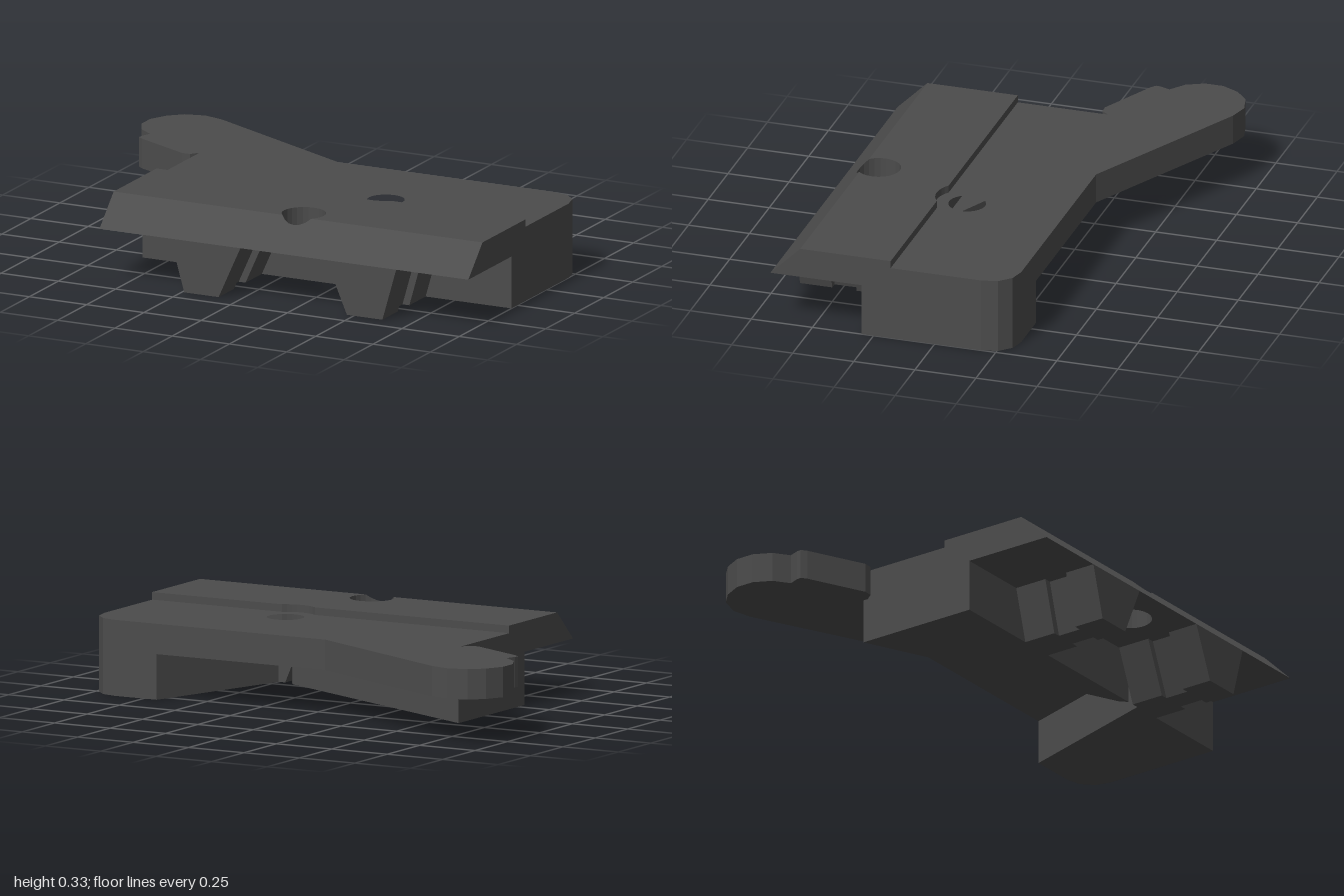
import * as THREE from 'three';

const HOLE_SIDES = 20;

export function createModel() {
  const group = new THREE.Group();
  const darkGrey = new THREE.MeshStandardMaterial({ color: 0x4c4c4c });
  darkGrey.name = 'darkGrey';

  const add = (name, geometry) => {
    const mesh = new THREE.Mesh(geometry, darkGrey);
    mesh.name = name;
    group.add(mesh);
  };

  // Points [x, z] on an arc; angle 0 is +x, 90 degrees is +z
  const arc = (cx, cz, r, from, to, n) => Array.from({ length: n + 1 }, (_, i) => {
    const a = from + (to - from) * i / n;
    return [cx + r * Math.cos(a), cz + r * Math.sin(a)];
  });
  const toVectors = pts => pts.map(([x, z]) => new THREE.Vector2(x, -z));

  // Plan outline [x, z] raised from y0 to y1
  const slab = (outline, y0, y1, hole) => {
    const shape = new THREE.Shape(toVectors(outline));
    if (hole) shape.holes.push(new THREE.Path(toVectors(hole)));
    const g = new THREE.ExtrudeGeometry(shape, { depth: y1 - y0, bevelEnabled: false });
    return g.rotateX(-Math.PI / 2).translate(0, y0, 0);
  };

  const corner = [[0.88, -0.315], [0.94, -0.3], [0.985, -0.255], [1, -0.19]];

  // Thin plate with the angled thumb lever
  add('leverPlate', slab([
    ...corner, [1, 0.3], [-0.61, 0.3], [-0.61, -0.19],
    [-0.635, -0.158], [-0.67, -0.157], [-0.9, -0.268], [-0.922, -0.285], [-0.92, -0.305],
    [-0.905, -0.345], [-0.965, -0.39], [-1, -0.46], [-1, -0.535], [-0.965, -0.605],
    [-0.91, -0.655], [-0.83, -0.675], [-0.75, -0.655], [-0.07, -0.315],
  ], 0.18, 0.3, arc(0.34, 0.08, 0.074, 0, Math.PI * 2, HOLE_SIDES).slice(0, -1)));

  // Two blocks below the plate, leaving a tapering channel
  add('rightBlock', slab([...corner, [1, 0.3], [0.5, 0.3], [0.69, -0.315]], 0, 0.18));
  add('leftBlock', slab([[-0.61, -0.21], [-0.61, 0.3], [0.44, 0.3], [0.42, 0.275]], 0, 0.18));

  // Raised front bar, split where the chamfer starts, with the bolt hole across the split
  const hz = 0.49, hx = 0.19, hr = 0.087, split = 0.55;
  const half = Math.asin((split - hz) / hr);
  const reliefHalf = Math.acos(0.1 / 0.125);
  add('frontBar', slab([
    [-0.61, 0.18],
    ...arc(0.34, 0.08, 0.125, Math.PI / 2 + reliefHalf, Math.PI / 2 - reliefHalf, 8),
    [1, 0.18], [1, split],
    ...arc(hx, hz, hr, half, -Math.PI - half, 18),
    [-0.61, split],
  ], 0.21, 0.33));

  const lip = slab([
    [-0.61, split],
    ...arc(hx, hz, hr, Math.PI - half, half, 6),
    [1, split], [1, 0.672], [-0.61, 0.672],
  ], 0.21, 0.33);
  const p = lip.attributes.position;
  for (let i = 0; i < p.count; i++) {
    if (p.getY(i) > 0.3) p.setY(i, 0.33 - 0.12 * (p.getZ(i) - split) / (0.672 - split));
  }
  lip.computeVertexNormals();
  add('chamferedLip', lip);

  // Tapered feet: front jaw, narrower neck, rear root
  const foot = (name, [topL, topR, lowL, lowR]) => {
    [['Jaw', 0.54, 0.672, 0], ['Neck', 0.44, 0.54, 0.03], ['Root', 0.3, 0.44, 0]]
      .forEach(([part, z0, z1, inset]) => {
        const shape = new THREE.Shape([
          new THREE.Vector2(lowL + inset, 0), new THREE.Vector2(lowR - inset, 0),
          new THREE.Vector2(topR - inset, 0.21), new THREE.Vector2(topL + inset, 0.21),
        ]);
        const g = new THREE.ExtrudeGeometry(shape, { depth: z1 - z0, bevelEnabled: false });
        add(name + part, g.translate(0, 0, z0));
      });
  };
  foot('rightFoot', [-0.3, 0.005, -0.24, -0.09]);
  foot('leftFoot', [0.38, 0.685, 0.47, 0.625]);

  return group;
}
